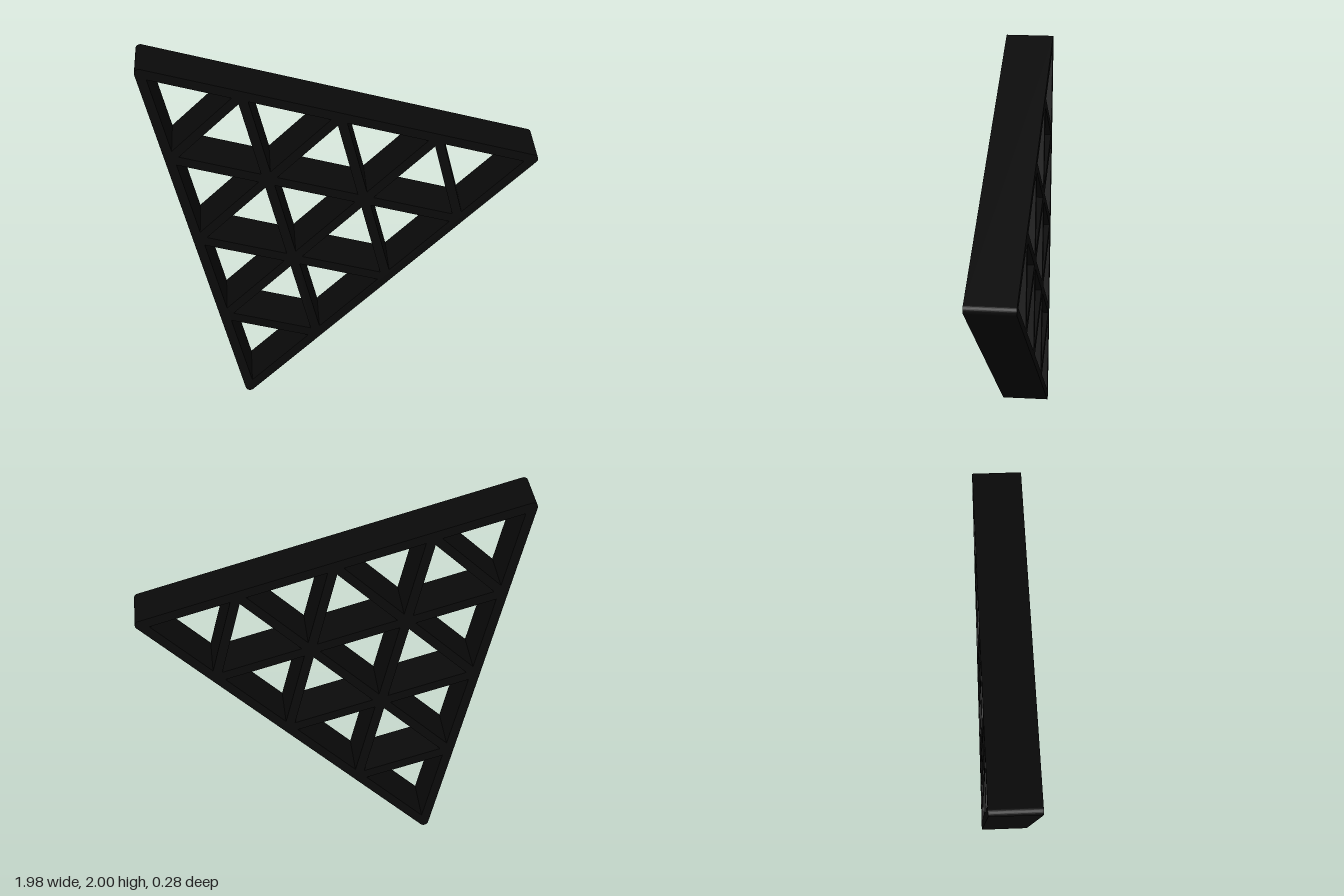
import * as THREE from 'three';

const DEPTH = 0.25;      // front to back
const HALF_BAR = 0.024;  // half the width of every bar
const CELLS = 4;         // lattice cells along each side
const LEAN = 0.0155;     // slight tilt about x

// Centre lines of the three corners, measured from the height y = 1
const A = new THREE.Vector2(-0.965, 0.974);
const B = new THREE.Vector2(0.963, 0.421);
const C = new THREE.Vector2(-0.488, -0.974);

// Lattice node i steps towards B and j steps towards C
function node(i, j) {
  const u = i / CELLS, v = j / CELLS;
  return A.clone().multiplyScalar(1 - u - v).addScaledVector(B, u).addScaledVector(C, v);
}

function centroid(points) {
  const c = new THREE.Vector2();
  points.forEach((p) => c.add(p));
  return c.divideScalar(points.length);
}

// Triangular opening, inset from the cell's centre lines by half a bar
function opening(points) {
  const c = centroid(points);
  const inradius = points[0].distanceTo(points[1]) / (2 * Math.sqrt(3));
  const k = 1 - HALF_BAR / inradius;
  return new THREE.Path(points.map((p) => p.clone().sub(c).multiplyScalar(k).add(c)));
}

// Outer triangle with rounded corners
function outline() {
  const shape = new THREE.Shape();
  const c = centroid([A, B, C]);
  for (const p of [A, C, B]) {
    const out = Math.atan2(p.y - c.y, p.x - c.x);
    shape.absarc(p.x, p.y, HALF_BAR, out - Math.PI / 3, out + Math.PI / 3, false);
  }
  shape.closePath();
  return shape;
}

export function createModel() {
  const group = new THREE.Group();
  group.name = 'triangularLattice';

  const shape = outline();
  for (let i = 0; i < CELLS; i++) {
    for (let j = 0; i + j < CELLS; j++) {
      shape.holes.push(opening([node(i, j), node(i, j + 1), node(i + 1, j)]));
      // Inverted cell between the upright ones
      if (i + j < CELLS - 1) {
        shape.holes.push(opening([node(i + 1, j), node(i, j + 1), node(i + 1, j + 1)]));
      }
    }
  }

  const geometry = new THREE.ExtrudeGeometry(shape, {
    depth: DEPTH, bevelEnabled: false, curveSegments: 8,
  });
  geometry.translate(0, 0, -DEPTH / 2);

  const lattice = new THREE.Mesh(geometry, new THREE.MeshStandardMaterial({ color: 0x0a0a0a }));
  lattice.name = 'latticeFrame';
  lattice.position.y = 1;
  lattice.rotation.x = LEAN;
  group.add(lattice);
  return group;
}
